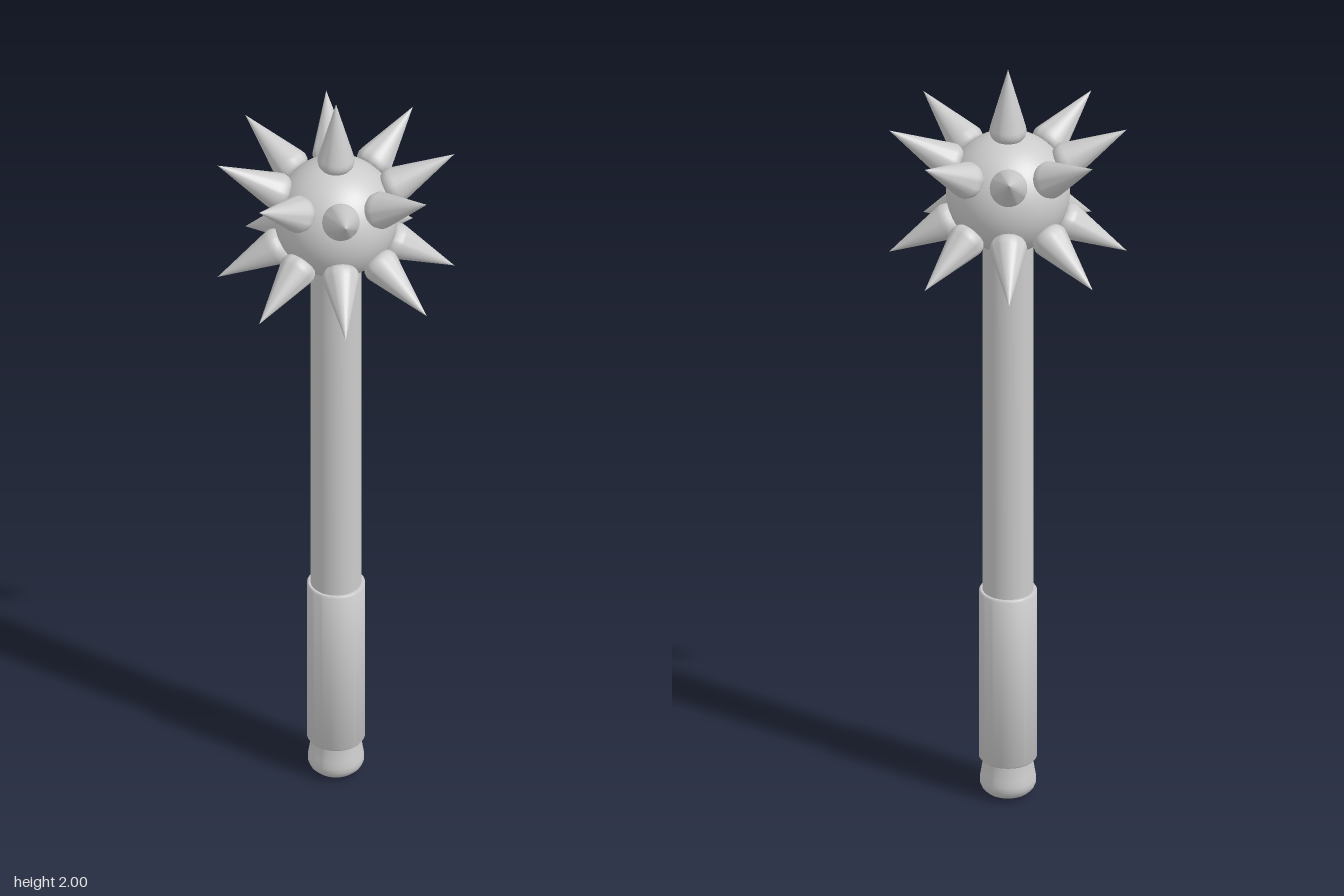
import * as THREE from 'three';
import { toCreasedNormals } from 'three/addons/utils/BufferGeometryUtils.js';

const material = new THREE.MeshStandardMaterial({ color: 0xcccccc });

// Turned part from [radius, height] pairs, listed bottom to top
function turned(profile, segments) {
  const points = profile.map(([r, y]) => new THREE.Vector2(r, y));
  return toCreasedNormals(new THREE.LatheGeometry(points, segments), 0.7);
}

function addPart(parent, name, geometry) {
  const mesh = new THREE.Mesh(geometry, material);
  mesh.name = name;
  parent.add(mesh);
  return mesh;
}

export function createModel() {
  const model = new THREE.Group();
  model.name = 'spikedMace';

  // Handle: flared pommel, grip sleeve and plain shaft
  addPart(model, 'pommel', turned([
    [0, 0], [0.04, 0.002], [0.054, 0.008], [0.064, 0.018], [0.069, 0.03],
    [0.069, 0.042], [0.066, 0.06], [0.062, 0.085], [0.061, 0.105],
  ], 48));
  addPart(model, 'grip', turned([
    [0.05, 0.098], [0.068, 0.098], [0.0715, 0.103], [0.0715, 0.558], [0.068, 0.563], [0.05, 0.563],
  ], 48));
  addPart(model, 'shaft', turned([[0.0625, 0.55], [0.0625, 1.56]], 48));

  // Head: ball with spikes pointing outward
  const head = new THREE.Group();
  head.name = 'head';
  head.position.y = 1.665;
  model.add(head);
  addPart(head, 'ball', new THREE.SphereGeometry(0.152, 48, 32));

  // Spike profile is measured from the ball centre
  const spikeGeometry = turned([
    [0, 0.145], [0.03, 0.145], [0.038, 0.148], [0.043, 0.155], [0.046, 0.167], [0.044, 0.177], [0, 0.336],
  ], 32);
  const up = new THREE.Vector3(0, 1, 0);
  function addSpike(name, elevation, azimuth) {
    const direction = new THREE.Vector3(
      Math.cos(elevation) * Math.sin(azimuth),
      Math.sin(elevation),
      Math.cos(elevation) * Math.cos(azimuth),
    );
    addPart(head, name, spikeGeometry).quaternion.setFromUnitVectors(up, direction);
  }

  addSpike('topSpike', Math.PI / 2, 0);
  for (let i = 0; i < 8; i++) {
    addSpike('upperSpike', Math.PI / 6, i * Math.PI / 4);
    addSpike('lowerSpike', -Math.PI / 6, i * Math.PI / 4);
  }
  return model;
}
